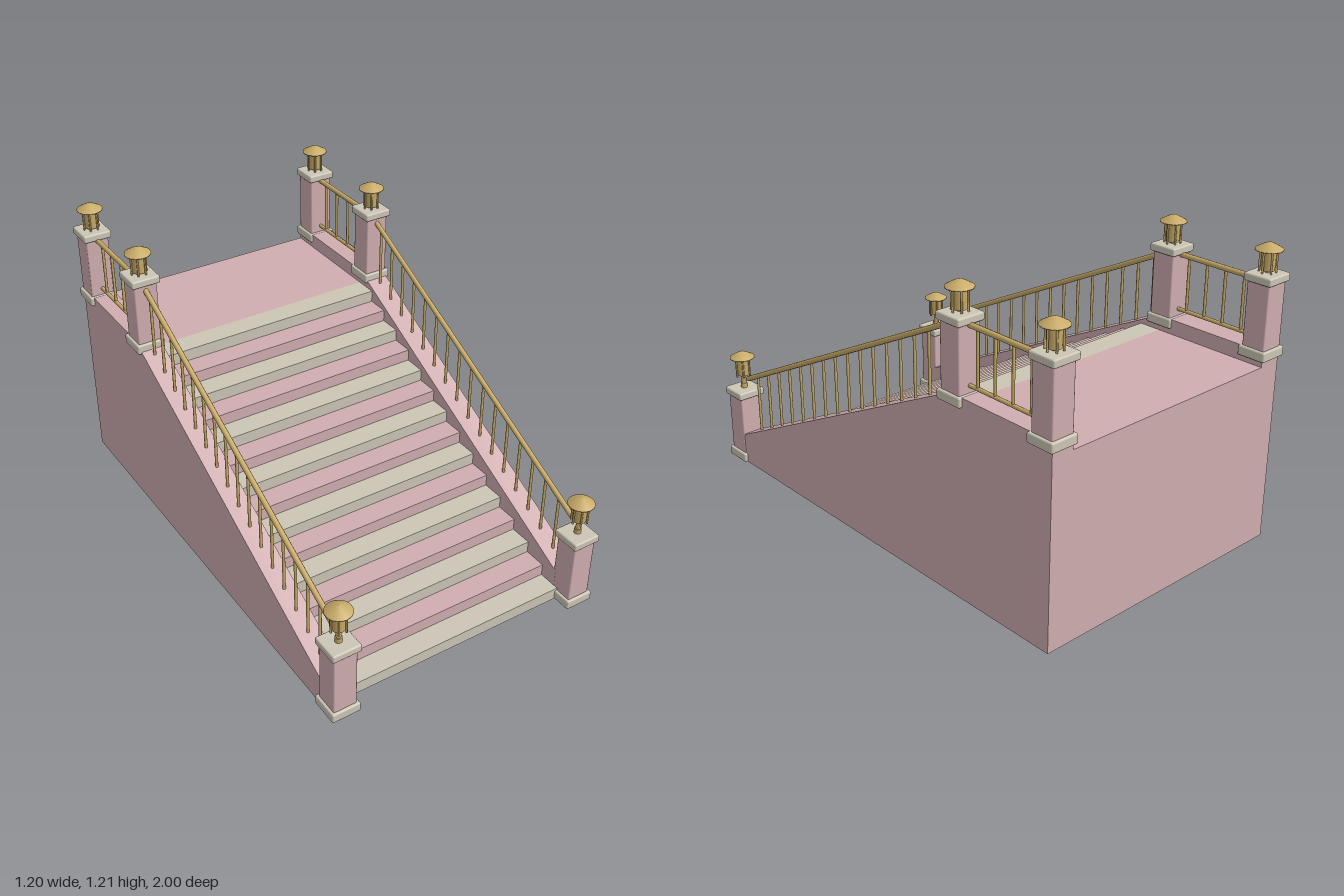
import * as THREE from 'three';
import { RoundedBoxGeometry } from 'three/addons/geometries/RoundedBoxGeometry.js';

const material = (name, color) => {
  const m = new THREE.MeshStandardMaterial({ color });
  m.name = name;
  return m;
};

export function createModel() {
  const pink = material('pink stone', 0xcfadb0);
  const stone = material('pale stone', 0xccc6b6);
  const brass = material('brass', 0xc8ab68);
  const model = new THREE.Group();
  model.name = 'staircase';

  const add = (parent, name, geometry, mat, x = 0, y = 0, z = 0) => {
    const mesh = new THREE.Mesh(geometry, mat);
    mesh.name = name;
    mesh.position.set(x, y, z);
    parent.add(mesh);
    return mesh;
  };

  // Round bar between two points given as [y, z] at a fixed x
  const bar = (parent, name, x, [y0, z0], [y1, z1], radius) => {
    const a = new THREE.Vector3(x, y0, z0), b = new THREE.Vector3(x, y1, z1);
    const dir = b.clone().sub(a);
    const mesh = add(parent, name, new THREE.CylinderGeometry(radius, radius, dir.length(), 10), brass);
    mesh.position.copy(a).add(b).multiplyScalar(0.5);
    mesh.quaternion.setFromUnitVectors(new THREE.Vector3(0, 1, 0), dir.normalize());
  };

  // Steps in alternating stone, then the landing
  const count = 15, rise = 0.745 / count, run = 1.41 / count, frontZ = 0.92;
  for (let i = 0; i < count; i++) {
    const h = rise * (i + 1);
    add(model, 'step', new THREE.BoxGeometry(0.98, h, run), i % 2 ? pink : stone,
      0, h / 2, frontZ - run * (i + 0.5));
  }
  add(model, 'landing', new THREE.BoxGeometry(0.98, 0.745, 0.495), pink, 0, 0.3725, -0.7375);

  // Side wall profile, drawn in (-z, y) and extruded across x
  const wallShape = new THREE.Shape([
    [-0.9, 0], [0.985, 0], [0.985, 0.805], [0.487, 0.805], [-0.885, 0.13], [-0.9, 0.13],
  ].map(([u, v]) => new THREE.Vector2(u, v)));
  const wallGeometry = new THREE.ExtrudeGeometry(wallShape, { depth: 0.095, bevelEnabled: false });
  wallGeometry.translate(0, 0, -0.0475).rotateY(Math.PI / 2);

  const roofGeometry = new THREE.LatheGeometry([
    [0, 0.137], [0.052, 0.137], [0.052, 0.141], [0.028, 0.155], [0.01, 0.164], [0, 0.166],
  ].map(([r, y]) => new THREE.Vector2(r, y)), 20);

  const buildLantern = (x, y, z) => {
    const lantern = new THREE.Group();
    lantern.name = 'lantern';
    lantern.position.set(x, y, z);
    add(lantern, 'lanternFoot', new THREE.CylinderGeometry(0.014, 0.014, 0.02, 14), brass, 0, 0.01, 0);
    add(lantern, 'lanternStem', new THREE.CylinderGeometry(0.01, 0.01, 0.06, 12), brass, 0, 0.03, 0);
    add(lantern, 'lanternBody', new THREE.CylinderGeometry(0.028, 0.026, 0.073, 18), brass, 0, 0.0965, 0);
    add(lantern, 'lanternRoof', roofGeometry, brass);
    for (let i = 0; i < 6; i++) {
      const a = (i / 6) * Math.PI * 2;
      add(lantern, 'lanternBar', new THREE.CylinderGeometry(0.004, 0.004, 0.087, 6), brass,
        Math.cos(a) * 0.031, 0.0965, Math.sin(a) * 0.031);
    }
    model.add(lantern);
  };

  const buildPost = (x, y, z) => {
    const post = new THREE.Group();
    post.name = 'post';
    post.position.set(x, y, z);
    add(post, 'postBase', new RoundedBoxGeometry(0.12, 0.04, 0.12, 2, 0.007), stone, 0, 0.02, 0);
    add(post, 'postShaft', new RoundedBoxGeometry(0.098, 0.28, 0.098, 1, 0.005), pink, 0, 0.165, 0);
    add(post, 'postCap', new RoundedBoxGeometry(0.12, 0.032, 0.12, 2, 0.007), stone, 0, 0.309, 0);
    model.add(post);
  };

  for (const side of [-1, 1]) {
    const x = side * 0.5385;
    add(model, 'sideWall', wallGeometry, pink, side * 0.5365, 0, 0);

    // Posts with lanterns
    for (const [base, z, top] of [[0, 0.938, 0.325], [0.767, -0.49, 1.04], [0.767, -0.938, 1.04]]) {
      buildPost(x, base + (base ? -0.052 + 0.052 : 0), z);
      buildLantern(x, top, z);
    }

    // Sloped railing
    const railing = new THREE.Group();
    railing.name = 'railing';
    model.add(railing);
    bar(railing, 'slopedHandrail', x, [0.375, 0.9], [1.057, -0.485], 0.011);
    for (let i = 0; i < 16; i++) {
      const z = 0.82 - i * 0.0818;
      const railY = 0.375 + (0.9 - z) * 0.4924;
      const wallY = 0.13 + (0.885 - z) * 0.492;
      bar(railing, 'baluster', x, [wallY, z], [railY, z], 0.006);
    }

    // Level railing beside the landing
    bar(railing, 'upperHandrail', x, [1.057, -0.485], [1.057, -0.938], 0.011);
    bar(railing, 'lowerRail', x, [0.835, -0.53], [0.835, -0.9], 0.008);
    for (let i = 0; i < 4; i++) {
      const z = -0.58 - i * 0.087;
      bar(railing, 'baluster', x, [0.835, z], [1.055, z], 0.006);
    }
  }
  return model;
}
